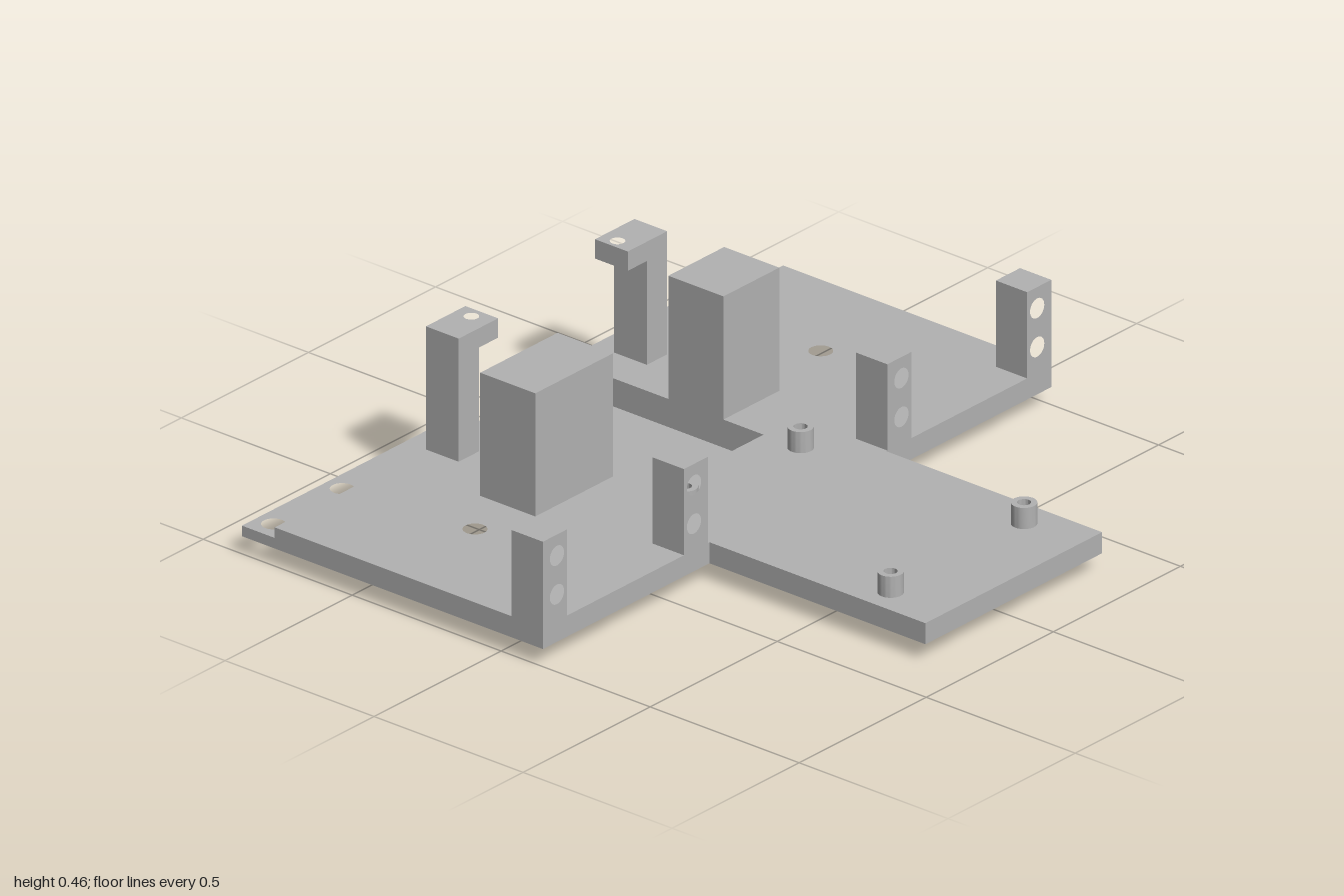
import * as THREE from 'three';
import { toCreasedNormals } from 'three/addons/utils/BufferGeometryUtils.js';

const grey = new THREE.MeshStandardMaterial({ color: 0xb2b2b2 });
grey.name = 'plainGrey';

// Closed shape from corner points, with round holes [x, y, radius]
function outline(points, holes = []) {
  const shape = new THREE.Shape(points.map(([x, y]) => new THREE.Vector2(x, y)));
  for (const [x, y, r] of holes) {
    shape.holes.push(new THREE.Path().absarc(x, y, r, 0, Math.PI * 2, true));
  }
  return shape;
}

const extrude = (shape, depth) =>
  new THREE.ExtrudeGeometry(shape, { depth, bevelEnabled: false, curveSegments: 16 });

// Plan outline given as (x, z), raised from y0 to y1
function slab(points, holes, y0, y1) {
  const shape = outline(points.map(([x, z]) => [x, -z]), holes.map(([x, z, r]) => [x, -z, r]));
  return extrude(shape, y1 - y0).rotateX(-Math.PI / 2).translate(0, y0, 0);
}

// Side outline given as (z, y), run from x0 to x1
function rail(points, holes, x0, x1) {
  const shape = outline(points.map(([z, y]) => [-z, y]), holes.map(([z, y, r]) => [-z, y, r]));
  return extrude(shape, x1 - x0).rotateY(Math.PI / 2).translate(x0, 0, 0);
}

const rect = (a0, a1, b0, b1) => [[a0, b0], [a1, b0], [a1, b1], [a0, b1]];

const LOW = 0.05, TOP = 0.11, LEDGE = 0.08, FLOOR = 0.03;
const BACK = -0.87, STEP = -0.76, POCKET = -0.16, EDGE = 0.14, END = 0.865;
const INNER = 0.22, OUTER = 0.27;

// Rounded lower corner of the pan, from its side down to its bottom
function panCorner(depth, side) {
  const r = Math.min(0.03, depth), pts = [];
  for (let i = 0; i <= 6; i++) {
    const a = (i / 6) * Math.PI / 2;
    pts.push([side * (OUTER - r + r * Math.cos(a)), LOW - depth + r - r * Math.sin(a)]);
  }
  return pts;
}

// Pan with a curved nose, lofted along x from cross-sections
function panGeometry() {
  const stations = [[STEP, FLOOR], [-0.22, FLOOR]];
  const noseX = (t) => -0.22 + 0.1 * t;
  for (let i = 1; i <= 10; i++) {
    const x = noseX(i / 10);
    if (i === 6) stations.push([x, FLOOR]);
    stations.push([x, i < 6 ? FLOOR : LOW]);
  }
  const sections = stations.map(([x, floor]) => {
    const run = Math.max(0, x + 0.22);
    const depth = Math.max(0.001, LOW - (0.125 - Math.sqrt(0.125 ** 2 - run ** 2)));
    return [
      [OUTER, LOW], ...panCorner(depth, 1), ...panCorner(depth, -1).reverse(), [-OUTER, LOW],
      [-INNER, LOW], [-INNER, floor], [INNER, floor], [INNER, LOW],
    ].map(([z, y]) => [x, y, z]);
  });
  const pos = [];
  for (let i = 0; i < sections.length - 1; i++) {
    const s = sections[i], e = sections[i + 1];
    for (let j = 0; j < s.length; j++) {
      const k = (j + 1) % s.length;
      pos.push(...s[j], ...s[k], ...e[j], ...s[k], ...e[k], ...e[j]);
    }
  }
  const geo = new THREE.BufferGeometry();
  geo.setAttribute('position', new THREE.Float32BufferAttribute(pos, 3));
  return toCreasedNormals(geo, 0.6);
}

export function createModel() {
  const model = new THREE.Group();
  model.name = 'mountingPlate';
  const add = (name, geometry) => {
    const mesh = new THREE.Mesh(geometry, grey);
    mesh.name = name;
    model.add(mesh);
  };

  // T-shaped base with a pocket open at the low edge
  const standoffs = [[-0.04, -0.225], [-0.04, 0.23], [0.68, -0.26], [0.68, 0.265]];
  add('basePlate', slab([
    [STEP, -1], [EDGE, -1], [EDGE, -0.35], [END, -0.35], [END, 0.345], [EDGE, 0.345],
    [EDGE, 1], [STEP, 1], [STEP, 0.215], [POCKET, 0.215], [POCKET, -INNER], [STEP, -INNER],
  ], [
    [-0.365, -0.685, 0.032], [-0.365, 0.675, 0.032],
    ...standoffs.map(([x, z]) => [x, z, 0.018]),
  ], LOW, TOP));

  // Thin ledges beside the pocket
  add('rightLedge', slab(rect(BACK, STEP, -1, -0.24),
    [[-0.815, -0.955, 0.032], [-0.815, -0.685, 0.032]], LOW, LEDGE));
  add('leftLedge', slab(rect(BACK, STEP, 0.235, 1),
    [[-0.815, 0.67, 0.032], [-0.815, 0.94, 0.032]], LOW, LEDGE));

  // Sunken pan under the pocket, with a drilled lip
  add('pan', panGeometry());
  add('panLip', slab(rect(BACK, STEP, -INNER, INNER), [[-0.815, 0.02, 0.032]], 0, FLOOR));
  for (const side of [1, -1]) {
    add('panLipSide', rail([
      [side * INNER, LOW], [side * OUTER, LOW], ...panCorner(LOW, side), [side * INNER, 0],
    ], [], BACK, STEP));
  }

  // Hollow standoffs
  for (const [x, z] of standoffs) {
    const ring = new THREE.Shape().absarc(0, 0, 0.034, 0, Math.PI * 2, false);
    ring.holes.push(new THREE.Path().absarc(0, 0, 0.018, 0, Math.PI * 2, true));
    add('standoff', toCreasedNormals(
      extrude(ring, 0.06).rotateX(-Math.PI / 2).translate(x, TOP, z), 0.6));
  }

  // Solid support blocks
  add('rightBlock', slab(rect(-0.48, -0.295, -0.44, -INNER), [], TOP, 0.46));
  add('leftBlock', slab(rect(-0.48, -0.295, 0.215, 0.52), [], TOP, 0.46));

  // Hooked posts: outer leg and a drilled cap reaching inward
  for (const [side, z0, z1, hole] of [[-1, -0.415, -0.26, -0.29], [1, 0.25, 0.405, 0.285]]) {
    const leg = side > 0 ? [z1 - 0.08, z1] : [z0, z0 + 0.08];
    add('hookLeg', slab(rect(STEP, -0.65, ...leg), [], TOP, 0.405));
    add('hookCap', slab(rect(STEP, -0.65, z0, z1), [[-0.71, hole, 0.02]], 0.405, 0.46));
  }

  // Edge brackets with two cross holes each
  for (const [z0, z1] of [[-1, -0.905], [-0.45, -0.355], [0.35, 0.445], [0.905, 1]]) {
    const mid = (z0 + z1) / 2 + (z0 > 0 ? -0.008 : 0.008) * (Math.abs(z0) > 0.6 ? 1 : -1);
    add('edgeBracket', rail(rect(z0, z1, TOP, 0.355),
      [[mid, 0.185, 0.028], [mid, 0.295, 0.028]], 0.035, EDGE));
  }
  return model;
}
